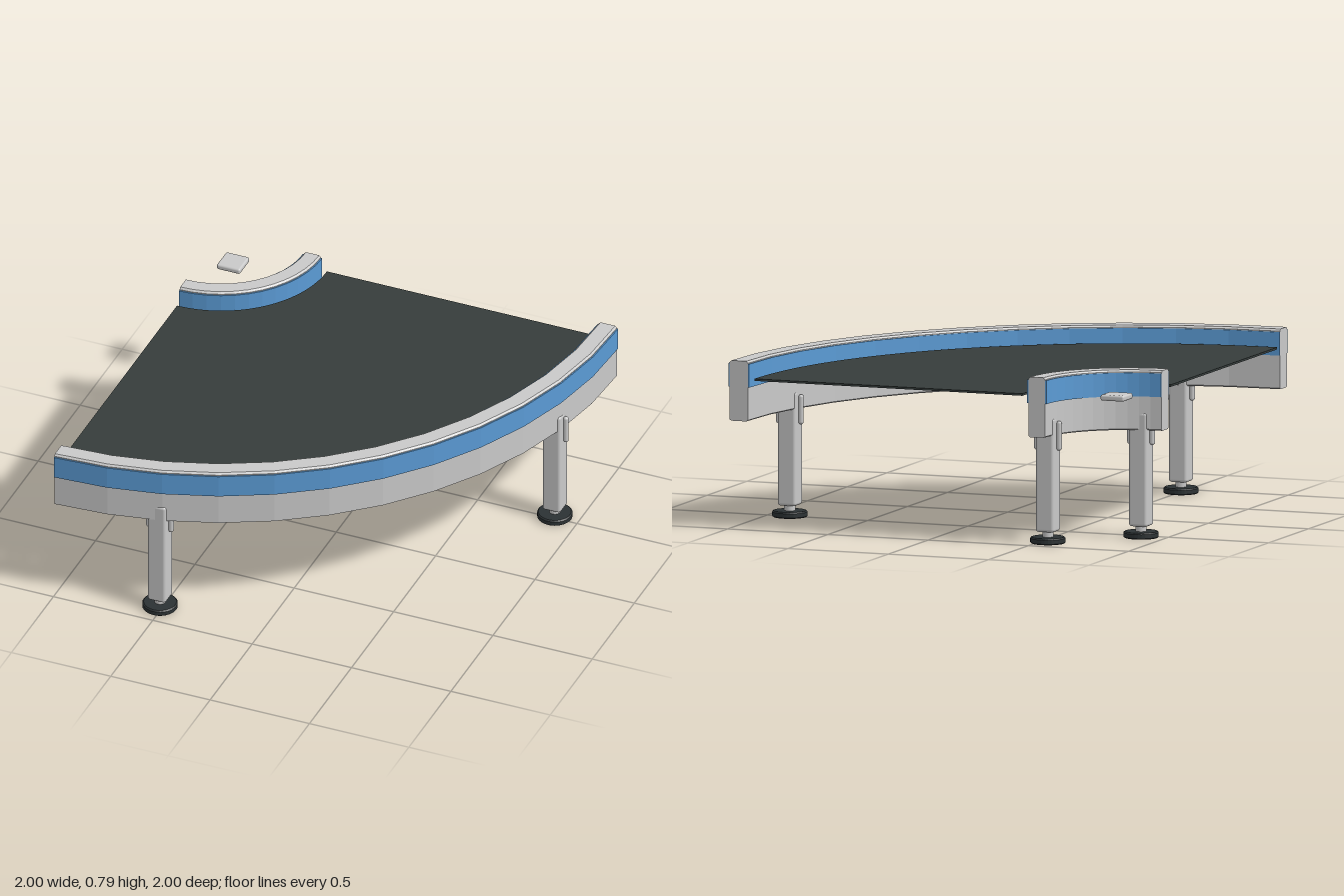
import * as THREE from 'three';
import { RoundedBoxGeometry } from 'three/addons/geometries/RoundedBoxGeometry.js';

const mat = (name, color) => {
  const m = new THREE.MeshStandardMaterial({ color });
  m.name = name;
  return m;
};

// Sweep a convex (radius, height) profile, counter-clockwise, through a quarter turn about the corner (-1, -1)
function quarterSweep(profile, segments) {
  const pos = [];
  const point = (i, s) => {
    const [r, y] = profile[i % profile.length];
    const a = (s / segments) * Math.PI / 2;
    return [-1 + r * Math.sin(a), y, -1 + r * Math.cos(a)];
  };
  const tri = (a, b, c) => pos.push(...a, ...b, ...c);
  for (let s = 0; s < segments; s++) {
    for (let i = 0; i < profile.length; i++) {
      tri(point(i, s), point(i, s + 1), point(i + 1, s + 1));
      tri(point(i, s), point(i + 1, s + 1), point(i + 1, s));
    }
  }
  // flat end caps
  for (let i = 1; i < profile.length - 1; i++) {
    tri(point(0, 0), point(i, 0), point(i + 1, 0));
    tri(point(0, segments), point(i + 1, segments), point(i, segments));
  }
  const g = new THREE.BufferGeometry();
  g.setAttribute('position', new THREE.Float32BufferAttribute(pos, 3));
  g.computeVertexNormals();
  return g;
}

const rect = (r0, r1, y0, y1) => [[r0, y0], [r1, y0], [r1, y1], [r0, y1]];

export function createModel() {
  const grey = mat('light grey metal', 0xcacaca);
  const blue = mat('blue band', 0x5b9bd5);
  const beltDark = mat('dark belt', 0x363d3c);
  const rubber = mat('black rubber', 0x2c3234);

  const model = new THREE.Group();
  model.name = 'curvedConveyor';
  const add = (parent, name, geometry, material, x = 0, y = 0, z = 0) => {
    const mesh = new THREE.Mesh(geometry, material);
    mesh.name = name;
    mesh.position.set(x, y, z);
    parent.add(mesh);
    return mesh;
  };

  // Belt surface
  add(model, 'belt', quarterSweep(rect(0.53, 1.865, 0.7, 0.71), 64), beltDark);

  // Faceted side rails with blue bands on both faces
  const skin = 0.006, c = 0.009;
  for (const [name, r0, r1] of [['innerRail', 0.41, 0.506], ['outerRail', 1.892, 1.996]]) {
    const rail = new THREE.Group();
    rail.name = name;
    model.add(rail);
    const a = r0 + skin, b = r1 - skin;
    const profile = [[a + c, 0.508], [b - c, 0.508], [b, 0.514], [b, 0.781],
      [b - c, 0.79], [a + c, 0.79], [a, 0.781], [a, 0.514]];
    add(rail, 'railBody', quarterSweep(profile, 12), grey);
    add(rail, 'bandInside', quarterSweep(rect(r0, a, 0.667, 0.777), 12), blue);
    add(rail, 'bandOutside', quarterSweep(rect(b, r1, 0.667, 0.777), 12), blue);
  }

  // Legs, two under each rail
  const postGeo = new RoundedBoxGeometry(0.092, 0.535, 0.092, 3, 0.014);
  const tabGeo = new THREE.CapsuleGeometry(0.0125, 0.115, 4, 12);
  const neckGeo = new THREE.CylinderGeometry(0.026, 0.026, 0.04, 20);
  const footGeo = new THREE.LatheGeometry([[0, 0], [0.076, 0], [0.082, 0.005],
    [0.082, 0.024], [0.076, 0.03], [0, 0.03]].map(p => new THREE.Vector2(...p)), 32).toNonIndexed();
  footGeo.computeVertexNormals();
  for (const [name, r] of [['innerLeg', 0.463], ['outerLeg', 1.945]]) {
    for (const deg of [14.5, 75.5]) {
      const t = THREE.MathUtils.degToRad(deg);
      const leg = new THREE.Group();
      leg.name = name;
      leg.position.set(-1 + r * Math.sin(t), 0, -1 + r * Math.cos(t));
      model.add(leg);
      add(leg, 'post', postGeo, grey, 0, 0.3225, 0);
      add(leg, 'neck', neckGeo, grey, 0, 0.045, 0);
      add(leg, 'foot', footGeo, rubber);
      // Rounded clamp tabs on the two sides
      for (const s of [-1, 1]) add(leg, 'clampTab', tabGeo, grey, s * 0.056, 0.505, 0);
    }
  }

  // Small loose plate at the centre of the curve
  add(model, 'cornerPlate', new RoundedBoxGeometry(0.118, 0.028, 0.118, 3, 0.01), grey, -0.9, 0.705, -0.9);

  return model;
}
